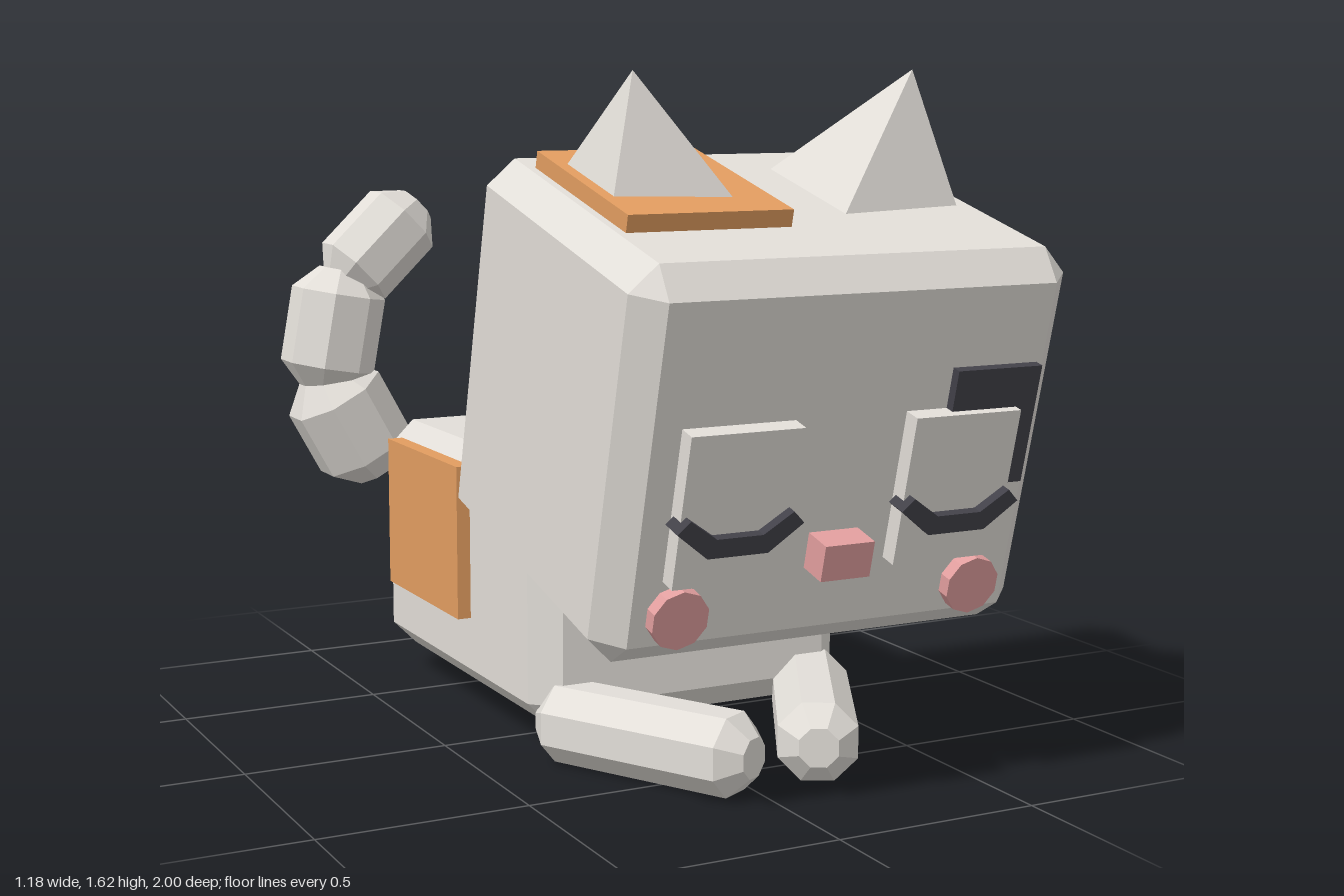
import * as THREE from 'three';
import { ConvexGeometry } from 'three/addons/geometries/ConvexGeometry.js';

const flat = (name, color) => {
  const m = new THREE.MeshStandardMaterial({ color, flatShading: true });
  m.name = name;
  return m;
};

export function createModel() {
  const fur = flat('pale fur', 0xe2ded8);
  const orange = flat('orange patch', 0xe29d60);
  const dark = flat('charcoal', 0x424149);
  const pink = flat('pink', 0xe29f9f);

  const model = new THREE.Group();
  model.name = 'sleepingCat';

  const add = (parent, name, geometry, material, x, y, z) => {
    const mesh = new THREE.Mesh(geometry, material);
    mesh.name = name;
    mesh.position.set(x, y, z);
    parent.add(mesh);
    return mesh;
  };
  const box = (parent, name, material, w, h, d, x, y, z) =>
    add(parent, name, new THREE.BoxGeometry(w, h, d), material, x, y, z);

  // Box with every edge chamfered by b
  const chamferBox = (w, h, d, b) => {
    const points = [];
    for (const sx of [-1, 1]) for (const sy of [-1, 1]) for (const sz of [-1, 1])
      for (let axis = 0; axis < 3; axis++) {
        const inset = [0, 1, 2].map(i => (i === axis ? 0 : b));
        points.push(new THREE.Vector3(
          sx * (w / 2 - inset[0]), sy * (h / 2 - inset[1]), sz * (d / 2 - inset[2])));
      }
    return new ConvexGeometry(points);
  };

  // Eight-sided log with bevelled ends, flat sides facing the axes
  const log = (r, length) => {
    const R = r / Math.cos(Math.PI / 8), h = length / 2, b = r * 0.55;
    const profile = [[0, -h], [R - b, -h], [R, b - h], [R, h - b], [R - b, h], [0, h]]
      .map(p => new THREE.Vector2(...p));
    return new THREE.LatheGeometry(profile, 8, Math.PI / 8);
  };

  const cx = 0.057;

  // Body and its coat patches
  add(model, 'body', chamferBox(0.835, 0.615, 1.02, 0.063), fur, cx, 0.377, -0.265);
  box(model, 'backPatchDark', dark, 0.385, 0.04, 0.455, 0.187, 0.695, -0.485);
  box(model, 'backPatchOrange', orange, 0.295, 0.04, 0.33, -0.113, 0.695, -0.085);
  box(model, 'leftSidePatch', dark, 0.04, 0.275, 0.365, 0.485, 0.353, -0.107);
  box(model, 'rightSidePatch', orange, 0.04, 0.385, 0.475, -0.375, 0.457, -0.403);

  // Front paws, toes turned inward
  for (const s of [-1, 1]) {
    const paw = new THREE.Group();
    paw.name = s > 0 ? 'leftPaw' : 'rightPaw';
    paw.position.set(cx + s * 0.2235, 0.0925, 0.425);
    paw.rotation.y = -s * 0.5;
    add(paw, 'pawLog', log(0.0925, 0.58), fur, 0, 0, 0).rotation.x = Math.PI / 2;
    model.add(paw);
  }

  // Tail curling up in three pieces: radius, length, x, y, tilt
  [[0.126, 0.32, -0.42, 0.665, 0.5],
   [0.117, 0.33, -0.462, 0.92, -0.18],
   [0.105, 0.31, -0.33, 1.145, -0.8]].forEach(([r, length, x, y, tilt], i) => {
    add(model, 'tailPiece' + (i + 1), log(r, length), fur, x, y, -0.873).rotation.z = tilt;
  });

  // Head, nodding forward
  const head = new THREE.Group();
  head.name = 'head';
  head.position.set(cx, 0.899, 0.4925);
  head.rotation.x = 0.25;
  model.add(head);
  add(head, 'skull', chamferBox(1.065, 0.894, 0.855, 0.062), fur, 0, 0, 0);
  box(head, 'earPatch', orange, 0.395, 0.05, 0.465, -0.2545, 0.461, -0.058);
  box(head, 'eyePatch', dark, 0.217, 0.275, 0.04, 0.347, 0.066, 0.43);
  box(head, 'nose', pink, 0.122, 0.083, 0.09, -0.002, -0.197, 0.455);

  // Closed eyelash: a shallow bent bar
  const lashShape = new THREE.Shape([
    [-0.15, -0.096], [-0.072, -0.158], [0.072, -0.158], [0.15, -0.096],
    [0.122, -0.068], [0.055, -0.115], [-0.055, -0.115], [-0.122, -0.068],
  ].map(p => new THREE.Vector2(...p)));
  const lash = new THREE.ExtrudeGeometry(lashShape, { depth: 0.055, bevelEnabled: false });

  const earHeight = 0.35, earTilt = 0.2;
  const ear = new THREE.ConeGeometry(0.264, earHeight, 4).rotateY(Math.PI / 4);
  const cheek = new THREE.CylinderGeometry(0.068, 0.068, 0.06, 10).rotateX(Math.PI / 2);

  for (const s of [-1, 1]) {
    const side = s > 0 ? 'left' : 'right';
    // Ear leaning outward, placed by its tip
    add(head, side + 'Ear', ear, fur,
      s * (0.353 - Math.sin(earTilt) * earHeight / 2),
      0.7265 - Math.cos(earTilt) * earHeight / 2, -0.069).rotation.z = -s * earTilt;
    box(head, side + 'Eyelid', fur, 0.268, 0.345, 0.06, s * 0.271, -0.062, 0.44);
    add(head, side + 'Eyelash', lash, dark, s * 0.272, 0, 0.438);
    add(head, side + 'Cheek', cheek, pink, s * 0.368, -0.315, 0.43);
  }

  return model;
}
